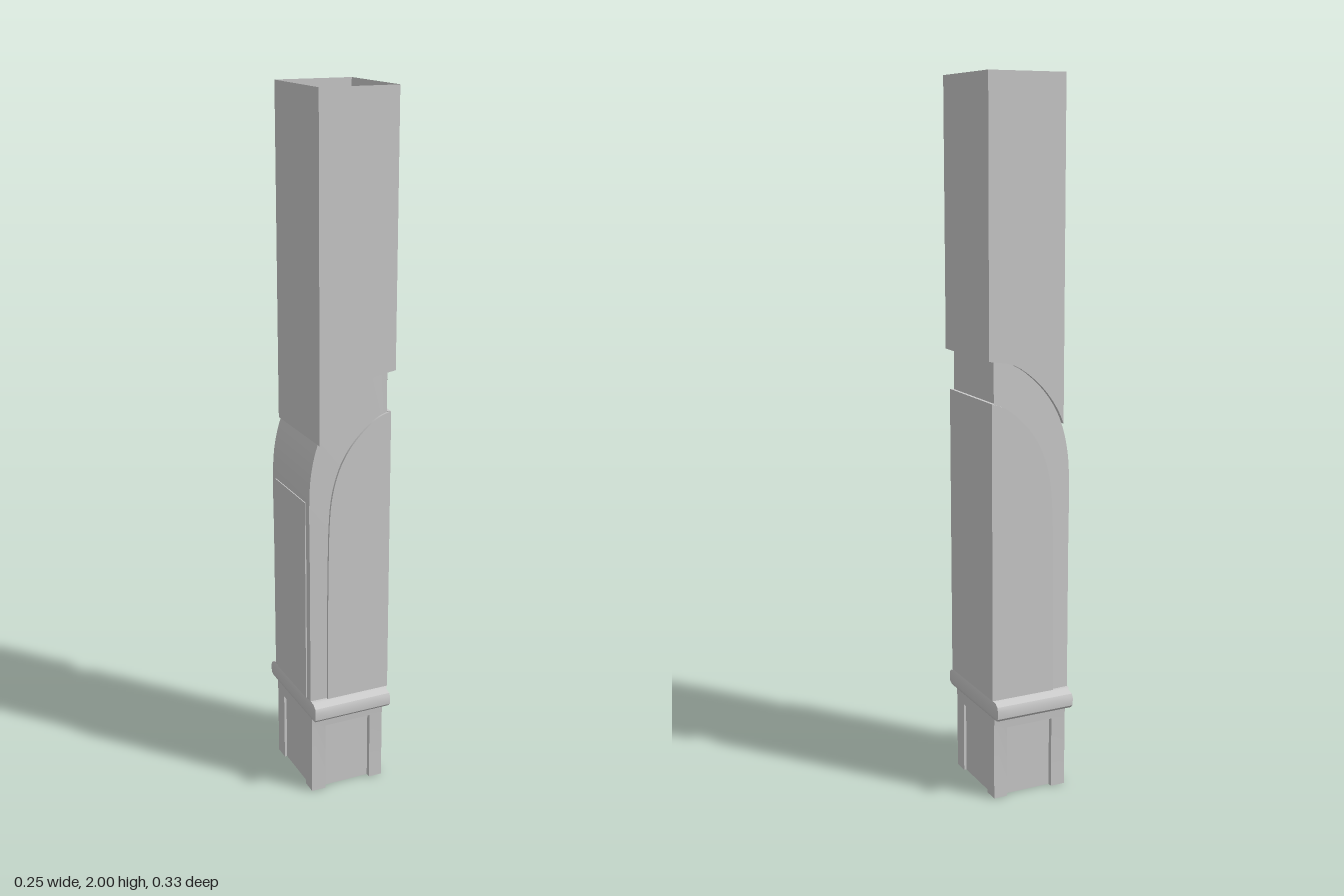
import * as THREE from 'three';
import { toCreasedNormals } from 'three/addons/utils/BufferGeometryUtils.js';

const material = new THREE.MeshStandardMaterial({ color: 0xcccccc, side: THREE.DoubleSide });

// Surface stretched over rows of [x, y, z] points; closed joins each row's ends.
function loft(name, rows, closed = false) {
  const n = rows[0].length;
  const index = [];
  for (let r = 0; r < rows.length - 1; r++) {
    for (let i = 0; i < (closed ? n : n - 1); i++) {
      const a = r * n + i, b = r * n + (i + 1) % n;
      index.push(a, a + n, b, b, a + n, b + n);
    }
  }
  const g = new THREE.BufferGeometry();
  g.setAttribute('position', new THREE.Float32BufferAttribute(rows.flat(2), 3));
  g.setIndex(index);
  const mesh = new THREE.Mesh(toCreasedNormals(g, 0.5), material);
  mesh.name = name;
  return mesh;
}

// Rectangular plan outline with a notch in each side; d = 0 leaves it plain.
function ring(y, x0, x1, z, d) {
  const e = d * 0.5;
  return [
    [x0, z], [-0.077, z], [-0.077, z - d], [0.065, z - d], [0.065, z], [x1, z],
    [x1, 0.08], [x1 - e, 0.08], [x1 - e, -0.08], [x1, -0.08],
    [x1, -z], [0.065, -z], [0.065, -z + d], [-0.077, -z + d], [-0.077, -z], [x0, -z],
    [x0, -0.08], [x0 + e, -0.08], [x0 + e, 0.08], [x0, 0.08],
  ].map(([x, zz]) => [x, y, zz]);
}

function curve(points) {
  const c = new THREE.CatmullRomCurve3(points.map(([x, y]) => new THREE.Vector3(x, y, 0)));
  return Array.from({ length: 33 }, (_, i) => c.getPoint(i / 32));
}

export function createModel() {
  const group = new THREE.Group();
  group.name = 'post';

  // Foot with recessed panels, open below
  group.add(loft('foot', [
    ring(0, -0.12, 0.105, 0.126, 0.015),
    ring(0.208, -0.12, 0.105, 0.126, 0.015),
    ring(0.208, -0.12, 0.105, 0.126, 0),
    ring(0.24, -0.12, 0.105, 0.128, 0),
  ], true));

  // Moulded collar
  group.add(loft('collar', [
    [0.24, -0.12, 0.105, 0.128], [0.245, -0.123, 0.109, 0.155],
    [0.254, -0.125, 0.112, 0.164], [0.277, -0.125, 0.112, 0.165],
    [0.288, -0.124, 0.111, 0.16], [0.295, -0.122, 0.109, 0.143],
    [0.3, -0.125, 0.115, 0.138], [0.3, -0.12, 0.106, 0.126],
  ].map(([y, x0, x1, z]) => ring(y, x0, x1, z, 0)), true));

  // Quarter arches that border the groove on the front and back
  const outer = curve([[0.125, 1.255], [0.05, 1.24], [-0.02, 1.19], [-0.07, 1.13], [-0.1, 1.07],
    [-0.118, 1.0], [-0.125, 0.93], [-0.125, 0.7], [-0.125, 0.3]]);
  const inner = curve([[0.115, 1.14], [0.075, 1.125], [0.03, 1.09], [-0.01, 1.045], [-0.04, 0.99],
    [-0.06, 0.92], [-0.068, 0.85], [-0.073, 0.65], [-0.075, 0.3]]);
  const arch = outer.slice(0, 17), flank = outer.slice(16);
  const grooveX = 0.106;

  for (const [side, s] of [['front', 1], ['back', -1]]) {
    const at = (pts, z, maxX = 1) => pts.map(p => [Math.min(p.x, maxX), p.y, z * s]);

    // Upper shaft face, down to the arch and over its lip
    group.add(loft(side + 'UpperFace', [
      arch.map(p => [p.x, 2, 0.142 * s]), at(arch, 0.142), at(arch, 0.129, grooveX),
    ]));
    // Sunken band between the arches
    group.add(loft(side + 'ArchBand', [at(outer, 0.129, grooveX), at(inner, 0.131, grooveX)]));
    // Raised lower panel
    group.add(loft(side + 'LowerPanel', [
      at(inner, 0.131, grooveX), at(inner, 0.138), inner.map(p => [0.115, p.y, 0.138 * s]),
    ]));
  }

  // Left wall with a straight groove
  const across = ([x, y, z]) => [[x, y, z], [x, y, -z]];
  group.add(loft('leftWall', [
    [0.125, 2, 0.142], [0.125, 1.255, 0.142], [grooveX, 1.255, 0.129],
    [grooveX, 1.14, 0.131], [0.115, 1.14, 0.138], [0.115, 0.3, 0.138],
  ].map(across)));

  // Right wall, flaring out below the arches
  group.add(loft('rightWall', [
    [-0.1, 2, 0.142], [-0.1, 1.07, 0.142], ...flank.map(p => [p.x, p.y, 0.129]),
  ].map(across)));

  // Thin raised panel on the right wall
  const panel = new THREE.Mesh(new THREE.BoxGeometry(0.006, 0.6, 0.21), material);
  panel.name = 'rightPanel';
  panel.position.set(-0.1255, 0.6, 0);
  group.add(panel);

  return group;
}
